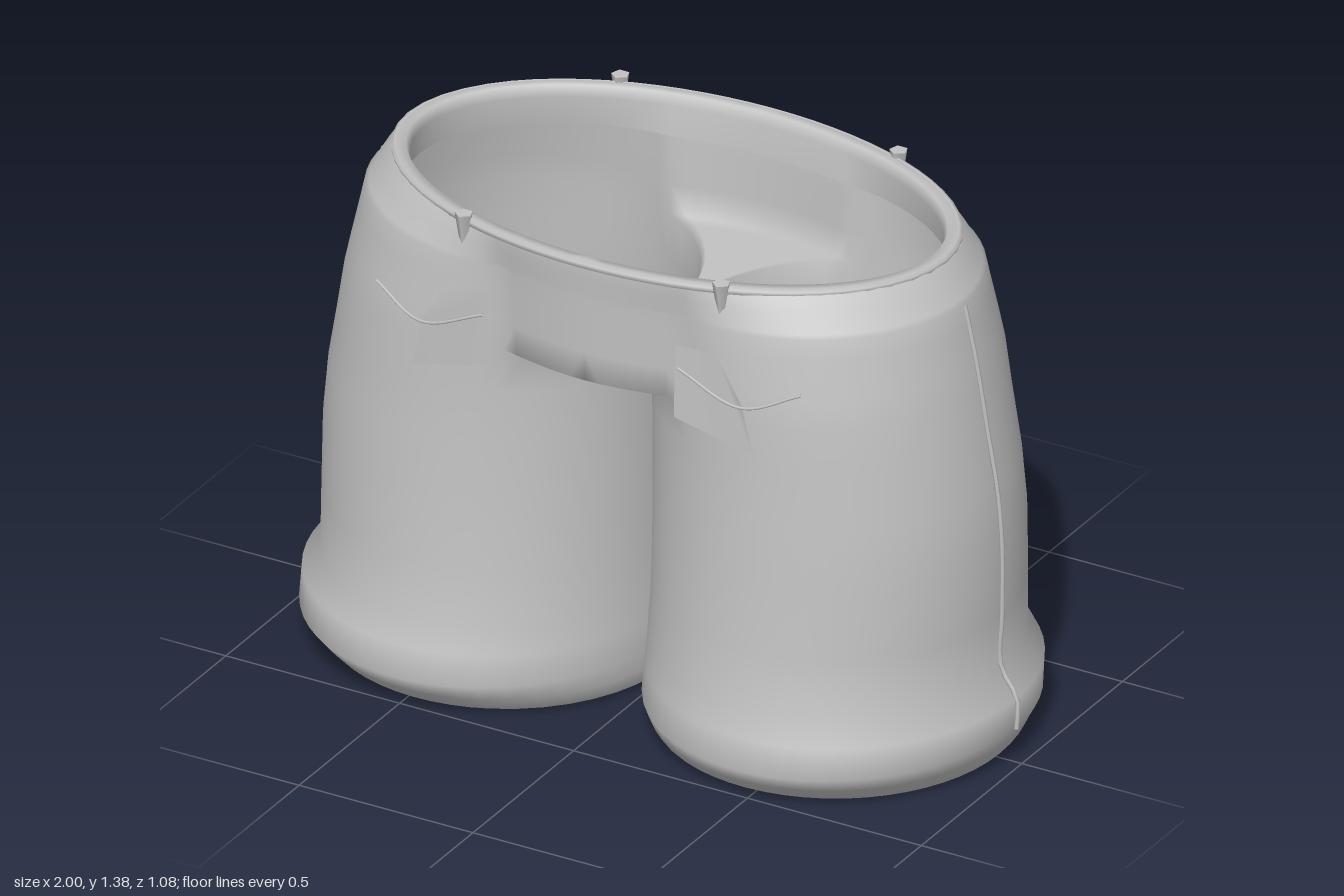
import * as THREE from 'three';
import { mergeGeometries, mergeVertices } from 'three/addons/utils/BufferGeometryUtils.js';

const cloth = new THREE.MeshStandardMaterial({ color: 0xc2c2c2, side: THREE.DoubleSide });
cloth.name = 'grey cloth';

const SPLIT = 1.02; // height where the legs part
const A0 = 2.0; // angle where the leg arc leaves the hip outline
const N = 36, K = 8, M = 6;

// Leg cross-sections: height, outer x, inner x, front z, back z
const legRows = [
  [SPLIT, 0.88, 0, 0.445, 0.465],
  [0.9, 0.9, 0.005, 0.445, 0.465],
  [0.75, 0.925, 0.008, 0.455, 0.472],
  [0.6, 0.938, 0.01, 0.465, 0.482],
  [0.4, 0.938, 0.01, 0.48, 0.492],
  [0.25, 0.935, 0.005, 0.5, 0.5],
  [0.18, 0.985, 0.0, 0.525, 0.51],
  [0.1, 0.985, 0.0, 0.55, 0.495],
  [0.05, 0.955, 0.005, 0.51, 0.53],
  [0.01, 0.935, 0.01, 0.47, 0.53],
  [0.0, 0.915, 0.03, 0.45, 0.5],
  [0.03, 0.9, 0.05, 0.44, 0.46],
  [0.14, 0.91, 0.04, 0.45, 0.46],
];

// Hip cross-sections: height, outer x, inset towards the lining
const hipRows = [
  [1.25, 0.79, 0.05], [1.33, 0.77, 0.045], [1.36, 0.77, 0.035], [1.36, 0.77, 0.005], [1.345, 0.777, 0],
  [1.31, 0.8, 0], [1.265, 0.825, 0], [1.255, 0.834, 0], [1.2, 0.845, 0], [1.1, 0.865, 0], [SPLIT, 0.88, 0],
];

function legPoint([y, outer, inner, zf, zb], a) {
  const s = Math.sin(a);
  return [(outer + inner) / 2 + (outer - inner) / 2 * Math.cos(a), y, s * (s > 0 ? zf : zb)];
}

// Surface through a grid of points
function grid(rows, flip = false) {
  const w = rows[0].length, index = [];
  for (let r = 0; r < rows.length - 1; r++) {
    for (let j = 0; j < w - 1; j++) {
      const a = r * w + j, b = a + 1, c = a + w, d = c + 1;
      index.push(...(flip ? [a, c, b, b, c, d] : [a, b, c, b, d, c]));
    }
  }
  const g = new THREE.BufferGeometry();
  g.setAttribute('position', new THREE.Float32BufferAttribute(rows.flat(2), 3));
  g.setIndex(index);
  return g;
}

function mirrored(g) {
  const m = g.clone().scale(-1, 1, 1), i = m.index.array;
  for (let k = 0; k < i.length; k += 3) [i[k], i[k + 1]] = [i[k + 1], i[k]];
  return m;
}

// Points from the leg arc to the centre line, on the front (1) or back (-1)
function bridgeRow(k, side) {
  const a = A0 + (Math.PI - A0) * k / K;
  const [x, y, z] = legPoint(legRows[0], side * a);
  return Array.from({ length: M + 1 }, (_, i) => {
    const u = i / M;
    return [x * (1 - u), y, z + side * 0.04 * (1 - k / K) * Math.sin(u * Math.PI / 2)];
  });
}

function buildBody() {
  const arc = Array.from({ length: N + 1 }, (_, i) => -A0 + 2 * A0 * i / N);
  const inner = Array.from({ length: 2 * K }, (_, i) => A0 + (Math.PI - A0) * (i + 1) / K);
  const leg = grid(legRows.map(row => [...arc, ...inner].map(a => legPoint(row, a))));

  // Half of the hip outline, blended up into the oval waist
  const outline = [
    ...bridgeRow(0, -1).reverse().slice(0, -1),
    ...arc.map(a => legPoint(legRows[0], a)),
    ...bridgeRow(0, 1).slice(1),
  ];
  const hips = grid(hipRows.map(([y, wide, inset]) => {
    const t = (0.88 - wide) / 0.11;
    return outline.map(([x, , z]) => {
      const th = Math.atan2(z / 0.46, x / 0.77);
      const wx = 0.77 * Math.cos(th), wz = 0.47 * Math.sin(th) - 0.015;
      return [(x + (wx - x) * t) * (1 - inset / 0.8), y, (z + (wz - z) * t) * (1 - inset / 0.5)];
    });
  }));

  // Crotch panels between the legs
  const bridges = [1, -1].map(side =>
    grid(Array.from({ length: K + 1 }, (_, k) => bridgeRow(k, side)), side < 0));

  const half = mergeGeometries([leg, hips, ...bridges]);
  const g = mergeVertices(mergeGeometries([half, mirrored(half)]), 1e-4);
  g.computeVertexNormals();
  return g;
}

// Thin flat piece from corner points
function plate(points) {
  const g = new THREE.BufferGeometry();
  g.setAttribute('position', new THREE.Float32BufferAttribute(points.flat(), 3));
  g.setIndex(Array.from({ length: points.length - 2 }, (_, i) => [0, i + 1, i + 2]).flat());
  g.computeVertexNormals();
  return g;
}

function tube(points, radius, closed = false) {
  const curve = new THREE.CatmullRomCurve3(points.map(p => new THREE.Vector3(...p)), closed);
  return new THREE.TubeGeometry(curve, closed ? 64 : 32, radius, 6, closed);
}

export function createModel() {
  const group = new THREE.Group();
  const add = (name, geometry) => {
    const m = new THREE.Mesh(geometry, cloth);
    m.name = name;
    group.add(m);
    return m;
  };

  add('shorts', buildBody());

  // Rolled edge of the waistband
  add('waistRim', tube(Array.from({ length: 32 }, (_, i) => {
    const a = i / 32 * Math.PI * 2;
    return [0.765 * Math.cos(a), 1.35, 0.465 * Math.sin(a) - 0.015];
  }), 0.012, true));

  for (const s of [1, -1]) {
    // Belt loops
    for (const [x, z] of [[0.37, 0.405], [0.4, -0.425]]) {
      const loop = add('beltLoop', new THREE.CylinderGeometry(0.024, 0.008, 0.1, 5));
      loop.position.set(s * x, 1.325, z);
    }

    // Front pocket flap and its stitched opening
    const flap = [[0.27, 1.2, 0.462], [0.27, 1.0, 0.468], [0.49, 0.94, 0.452], [0.46, 1.08, 0.462], [0.38, 1.2, 0.452]];
    const at = pts => pts.map(([x, y, z]) => [s * x, y, z]);
    add('frontPocket', plate(s > 0 ? at(flap).reverse() : at(flap)));
    add('pocketStitch', tube(at([[0.28, 1.14, 0.468], [0.46, 1.075, 0.466], [0.61, 1.13, 0.425]]), 0.004));

    // Loose strips on the back of the leg
    const strips = [
      [[0.15, 0.64, -0.495], [0.31, 0.61, -0.485], [0.285, 0.42, -0.49], [0.31, 0.21, -0.495], [0.16, 0.25, -0.5]],
      [[0.63, 0.63, -0.49], [0.75, 0.6, -0.415], [0.735, 0.42, -0.43], [0.75, 0.2, -0.42], [0.63, 0.24, -0.5]],
    ];
    for (const strip of strips) add('backStrip', plate(s > 0 ? at(strip) : at(strip).reverse()));

    // Outer side seam
    add('sideSeam', tube(at([
      [0.836, 1.25, 0], [0.869, 1.1, 0], [0.904, 0.9, 0], [0.93, 0.75, 0], [0.943, 0.6, 0],
      [0.943, 0.4, 0], [0.94, 0.26, 0], [0.99, 0.18, 0.005], [0.99, 0.1, 0.01],
    ]), 0.006));
  }
  return group;
}
